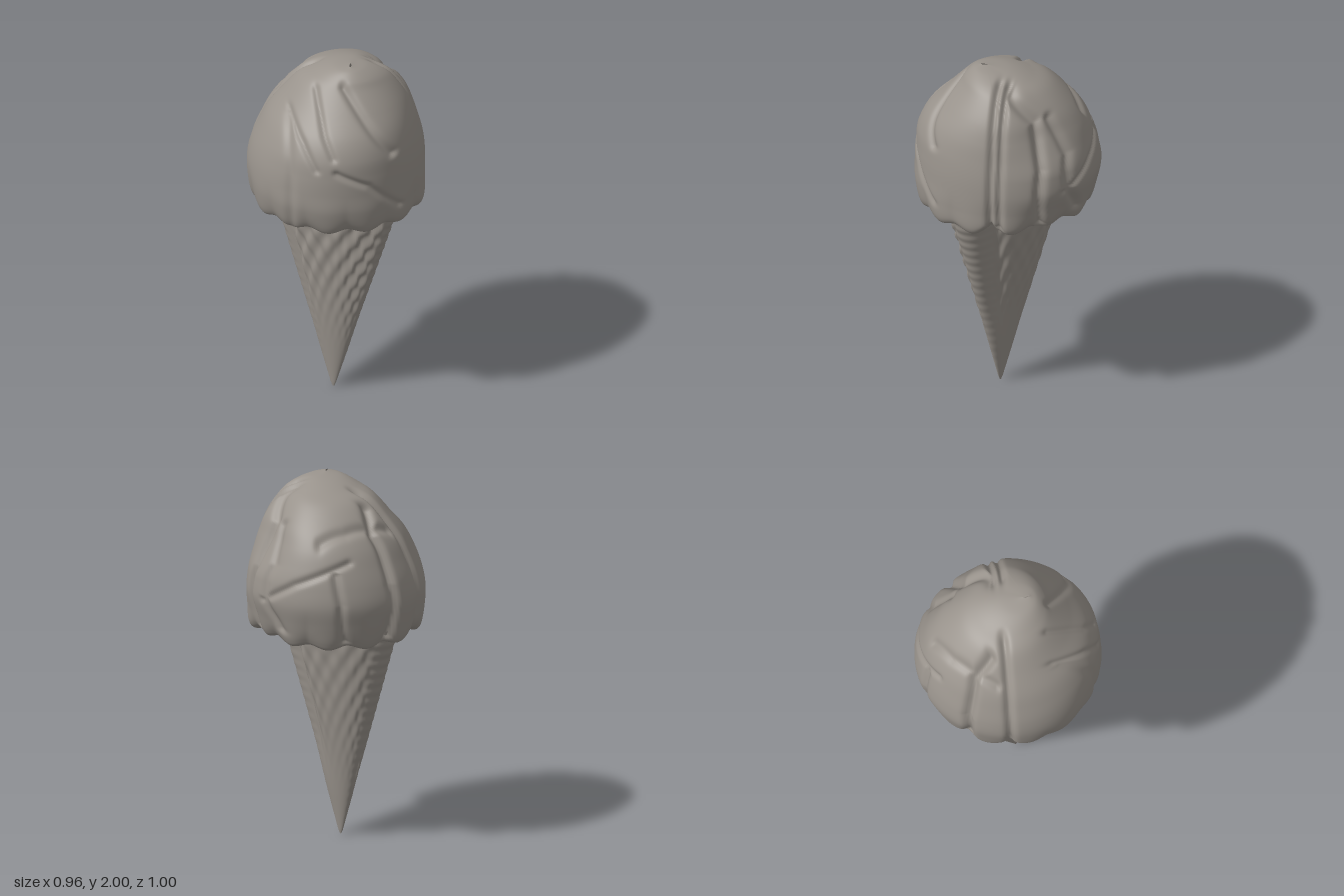
import * as THREE from 'three';

const bell = (d, w) => Math.exp(-(d * d) / (w * w));
const ramp = (x, a, b) => THREE.MathUtils.smoothstep(x, a, b);

// Closed rings of points, listed from top to bottom
function loft(rows, cols, point) {
  const pos = [], index = [];
  for (let i = 0; i <= rows; i++) {
    for (let j = 0; j < cols; j++) {
      const p = point(i / rows, (j / cols) * Math.PI * 2);
      pos.push(p.x, p.y, p.z);
      if (i === rows) continue;
      const a = i * cols + j, b = i * cols + (j + 1) % cols;
      index.push(a, b, a + cols, b, b + cols, a + cols);
    }
  }
  const g = new THREE.BufferGeometry();
  g.setAttribute('position', new THREE.Float32BufferAttribute(pos, 3));
  g.setIndex(index);
  g.computeVertexNormals();
  return g;
}

// Scoop outline: y, min x, max x, min z, max z
const outline = [
  [2.0, 0.075, 0.085, 0.09, 0.13],
  [1.985, -0.02, 0.17, -0.04, 0.17],
  [1.95, -0.11, 0.25, -0.15, 0.21],
  [1.9, -0.205, 0.31, -0.25, 0.25],
  [1.8, -0.295, 0.38, -0.355, 0.34],
  [1.7, -0.37, 0.42, -0.425, 0.43],
  [1.6, -0.42, 0.445, -0.465, 0.48],
  [1.5, -0.46, 0.465, -0.49, 0.495],
  [1.4, -0.48, 0.475, -0.5, 0.5],
  [1.3, -0.475, 0.475, -0.48, 0.5],
  [1.2, -0.455, 0.47, -0.45, 0.475],
  [1.165, -0.42, 0.43, -0.42, 0.44],
  [1.18, -0.35, 0.35, -0.35, 0.36],
  [1.22, -0.2, 0.2, -0.2, 0.2],
  [1.22, -0.01, 0.01, -0.01, 0.01],
];
const xCurve = new THREE.CatmullRomCurve3(outline.map(o => new THREE.Vector3(o[1], o[0], o[2])), false, 'catmullrom');
const zCurve = new THREE.CatmullRomCurve3(outline.map(o => new THREE.Vector3(o[3], o[0], o[4])), false, 'catmullrom');

// Folds in the ice cream: face, width, depth, path on that face
const folds = [
  ['front', 0.018, 0.014, [[-0.24, 1.78], [-0.16, 1.68], [-0.08, 1.55]]],
  ['front', 0.018, 0.014, [[-0.1, 1.9], [-0.04, 1.72], [0.01, 1.62]]],
  ['front', 0.02, 0.02, [[0.05, 1.93], [0.18, 1.77], [0.32, 1.6]]],
  ['front', 0.018, 0.015, [[0.03, 1.54], [0.2, 1.45], [0.36, 1.28]]],
  ['front', 0.025, 0.012, [[-0.24, 1.75], [-0.22, 1.5], [-0.22, 1.18]]],
  ['left', 0.018, 0.025, [[0.0, 1.96], [-0.01, 1.6], [-0.01, 1.18]]],
  ['left', 0.018, 0.025, [[-0.05, 1.95], [-0.06, 1.6], [-0.06, 1.2]]],
  ['left', 0.022, 0.03, [[-0.07, 1.93], [-0.21, 1.8], [-0.27, 1.55], [-0.26, 1.2]]],
  ['left', 0.018, 0.018, [[-0.27, 1.8], [-0.38, 1.6], [-0.42, 1.25]]],
  ['right', 0.022, 0.025, [[-0.04, 1.95], [-0.05, 1.6], [-0.05, 1.18]]],
  ['right', 0.022, 0.035, [[-0.12, 1.88], [-0.22, 1.76], [-0.27, 1.5], [-0.26, 1.2]]],
  ['back', 0.018, 0.016, [[0.3, 1.4], [0.1, 1.52], [-0.18, 1.64]]],
  ['back', 0.02, 0.02, [[-0.12, 1.58], [-0.16, 1.42], [-0.16, 1.2]]],
  ['top', 0.02, 0.018, [[-0.32, -0.1], [-0.24, -0.22], [-0.14, -0.32], [-0.02, -0.4]]],
].map(([face, width, depth, path]) => {
  const pts = path.map(([a, b]) => new THREE.Vector3(a, b, 0));
  return { face, width, depth, lines: pts.slice(1).map((p, i) => new THREE.Line3(pts[i], p)) };
});
// For each face: flat coordinates and how strongly its folds apply
const faces = {
  front: p => [p.x, p.y, ramp(p.z, 0, 0.08)],
  back: p => [p.x, p.y, ramp(-p.z, 0, 0.08)],
  left: p => [p.z, p.y, ramp(p.x, 0.08, 0.2)],
  right: p => [p.z, p.y, ramp(-p.x, 0.05, 0.15)],
  top: p => [p.x, p.z, ramp(p.y, 1.55, 1.65)],
};

function foldDepth(p) {
  const flat = new THREE.Vector3(), near = new THREE.Vector3();
  let depth = 0;
  for (const f of folds) {
    const [s, t, weight] = faces[f.face](p);
    if (weight === 0) continue;
    flat.set(s, t, 0);
    const d = Math.min(...f.lines.map(l => l.closestPointToPoint(flat, true, near).distanceTo(flat)));
    depth = Math.max(depth, f.depth * weight * bell(d, f.width));
  }
  return depth;
}

function scoopPoint(v, a) {
  const X = xCurve.getPoint(v), Z = zCurve.getPoint(v);
  const low = 1 - ramp(X.y, 1.17, 1.42);
  // Flatter back left shoulder, tucked in at its lower edge
  const corner = bell(a - 5.5, 0.45);
  const swell = 1 + low * 0.025 * (Math.abs(Math.sin(a * 6.5 + 0.4)) - 0.6)
    - corner * (0.11 * ramp(X.y, 1.5, 1.75) + 0.06 * low);
  const p = new THREE.Vector3(
    (X.x + X.z) / 2 + (X.z - X.x) / 2 * Math.cos(a) * swell, X.y,
    (Z.x + Z.z) / 2 + (Z.z - Z.x) / 2 * Math.sin(a) * swell);
  if (v < 0.88) {
    const inward = new THREE.Vector3(0, 1.45, 0).sub(p).normalize();
    p.addScaledVector(inward, foldDepth(p) * ramp(v, 0.02, 0.12));
  }
  // Scalloped lower lip, raised at the corner and where the cone is open
  const lip = 1 - ramp(X.y, 1.16, 1.27);
  p.y += lip * (0.03 * bell(p.z + 0.01, 0.06) + 0.02 * corner + 0.012 * Math.cos(a * 13 + 0.8));
  return p;
}

// Flattened waffle cone, wide along a slanting axis
const turn = THREE.MathUtils.degToRad(31);
function conePoint(v, a) {
  const wide = 0.394 * Math.cos(a), thin = 0.185 * Math.sin(a);
  const dx = wide * Math.cos(turn) - thin * Math.sin(turn);
  const dz = wide * Math.sin(turn) + thin * Math.cos(turn);
  // Notches in the rim on both sides
  const rim = 1.23 - 0.15 * bell(dz + 0.01, 0.035);
  const y = rim * (1 - v);
  let s = Math.max(0.016, 0.022 + y * 0.85) * ramp(y, -0.03, 0.025);
  const cz = 0.045 - 0.035 * y;
  // Narrow seam down the front, wider hollow down the back
  const z = dz * s + cz;
  s *= 1 - (thin > 0 ? 0.12 * bell(z - 0.01, 0.022) : 0.22 * bell(z - 0.02, 0.055)) * ramp(y, 0.2, 0.6);
  // Waffle bumps on the front, fainter on the back, none on the rolled ends
  const panel = ramp(dx, -0.29, -0.22) * (1 - ramp(dx, 0.26, 0.33));
  const bumps = panel * (thin > 0 ? 1 : 0.5);
  s *= 1 + 0.06 * Math.cos(a * 18) * Math.cos(y * 35) * bumps * ramp(y, 0.2, 0.8);
  s *= 1 + 0.006 * Math.cos(y * 110) * (1 - panel);
  return new THREE.Vector3(-0.016 + dx * s, y, cz + dz * s);
}

export function createModel() {
  const stone = new THREE.MeshStandardMaterial({ color: 0x99938c, side: THREE.DoubleSide });
  stone.name = 'warm grey';
  const model = new THREE.Group();
  model.name = 'iceCreamCone';
  const add = (name, geometry) => {
    const mesh = new THREE.Mesh(geometry, stone);
    mesh.name = name;
    model.add(mesh);
  };
  add('scoop', loft(170, 220, scoopPoint));
  add('waffleCone', loft(120, 180, conePoint));
  return model;
}
